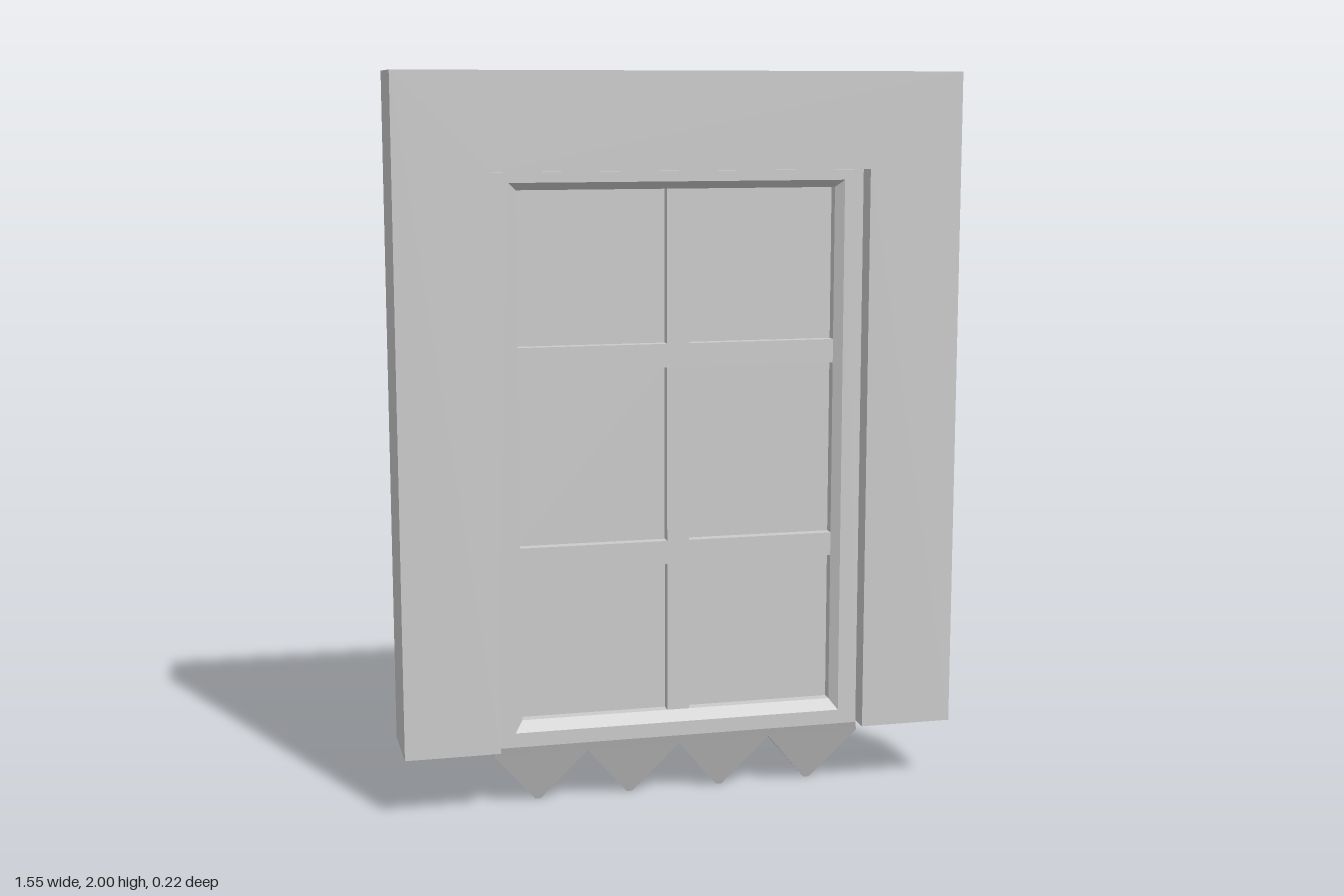
import * as THREE from 'three';

const material = new THREE.MeshStandardMaterial({ color: 0xcccccc, flatShading: true, side: THREE.DoubleSide });

function add(parent, name, geometry) {
  const mesh = new THREE.Mesh(geometry, material);
  mesh.name = name;
  parent.add(mesh);
  return mesh;
}

// Rectangle as a shape or a hole
function rect(x0, x1, y0, y1, Type = THREE.Shape) {
  return new Type([[x0, y0], [x1, y0], [x1, y1], [x0, y1]].map(p => new THREE.Vector2(...p)));
}

// Extrusion between two z positions
function slab(shape, z0, z1) {
  return new THREE.ExtrudeGeometry(shape, { depth: z1 - z0, bevelEnabled: false }).translate(0, 0, z0);
}

function box(x0, x1, y0, y1, z0, z1) {
  return new THREE.BoxGeometry(x1 - x0, y1 - y0, z1 - z0)
    .translate((x0 + x1) / 2, (y0 + y1) / 2, (z0 + z1) / 2);
}

// Block narrowing from a top rectangle to a bottom rectangle
function taper(yTop, yBottom, topX, topZ, bottomX, bottomZ) {
  const g = new THREE.BoxGeometry(2, yTop - yBottom, 2).translate(0, (yTop + yBottom) / 2, 0);
  const p = g.attributes.position;
  for (let i = 0; i < p.count; i++) {
    const top = p.getY(i) > (yTop + yBottom) / 2;
    p.setX(i, p.getX(i) * (top ? topX : bottomX));
    p.setZ(i, p.getZ(i) * (top ? topZ : bottomZ));
  }
  g.computeVertexNormals();
  return g;
}

// Sloping ring between two rectangular loops
function bevelRing(outer, inner, zOuter, zInner) {
  const loop = ([x, y0, y1], z) => [[-x, y0, z], [x, y0, z], [x, y1, z], [-x, y1, z]];
  const a = loop(outer, zOuter), b = loop(inner, zInner), verts = [];
  for (let i = 0; i < 4; i++) {
    const j = (i + 1) % 4;
    const quad = [a[i], a[j], b[j], a[i], b[j], b[i]];
    if (zOuter < 0) quad.reverse();
    verts.push(...quad.flat());
  }
  const g = new THREE.BufferGeometry();
  g.setAttribute('position', new THREE.Float32BufferAttribute(verts, 3));
  g.computeVertexNormals();
  return g;
}

function createWall() {
  const wall = new THREE.Group();
  wall.name = 'wall';
  const W = 0.775, D = 0.108, slot = 0.033, base = 0.175, open = 0.515, lintel = 1.74;
  const arch = new THREE.Shape([
    [-W, base], [-open, base], [-open, lintel], [open, lintel],
    [open, base], [W, base], [W, 2], [-W, 2],
  ].map(p => new THREE.Vector2(...p)));
  add(wall, 'frontWall', slab(arch, slot, D));
  add(wall, 'backWall', slab(arch, -D, -slot));
  // Thin closures around the slot the gate slides in
  for (const s of [-1, 1]) {
    add(wall, 'wallEnd', box(s * W - (s > 0 ? 0.01 : 0), s * W + (s < 0 ? 0.01 : 0), base, 2, -slot, slot));
  }
  add(wall, 'wallTop', box(-W + 0.01, W - 0.01, 1.99, 2, -slot, slot));
  return wall;
}

function createGate() {
  const gate = new THREE.Group();
  gate.name = 'gate';
  gate.position.set(-0.005, 0, -0.008);
  const frameZ = 0.072, gridZ = 0.052, panelZ = 0.022, half = 0.515;
  const outer = [0.462, 0.215, 1.71], inner = [0.44, 0.245, 1.69];

  // Frame with sloping inner border on both faces
  const frame = rect(-half, half, 0.175, 1.738);
  frame.holes.push(rect(-outer[0], outer[0], outer[1], outer[2], THREE.Path));
  add(gate, 'frame', slab(frame, -frameZ, frameZ));
  for (const s of [-1, 1]) add(gate, 'frameBevel', bevelRing(outer, inner, s * frameZ, s * gridZ));

  // Crossbars and recessed panels
  const grid = rect(-outer[0], outer[0], outer[1], outer[2]);
  for (const [y0, y1] of [[0.245, 0.662], [0.727, 1.208], [1.273, 1.69]]) {
    for (const [x0, x1] of [[-0.44, -0.031], [0.031, 0.44]]) {
      grid.holes.push(rect(x0, x1, y0, y1, THREE.Path));
      add(gate, 'panel', box(x0, x1, y0, y1, -panelZ, panelZ));
    }
  }
  add(gate, 'crossbars', slab(grid, -gridZ, gridZ));

  // Tongues running in the wall slots
  for (const s of [-1, 1]) {
    const tongue = add(gate, 'tongue', box(-0.025, 0.025, 0.178, 1.738, -0.022, 0.022));
    tongue.position.x = s * (half + 0.024);
  }

  // Bottom rail and spikes
  add(gate, 'bottomRail', taper(0.175, 0.15, half, frameZ, 0.521, 0.062));
  const pitch = 1.042 / 4;
  for (let i = 0; i < 4; i++) {
    const spike = add(gate, 'spike', taper(0.15, 0, pitch / 2, 0.062, 0.008, 0.004));
    spike.position.x = (i - 1.5) * pitch;
  }
  return gate;
}

export function createModel() {
  const model = new THREE.Group();
  model.name = 'slidingGate';
  model.add(createWall(), createGate());
  return model;
}
